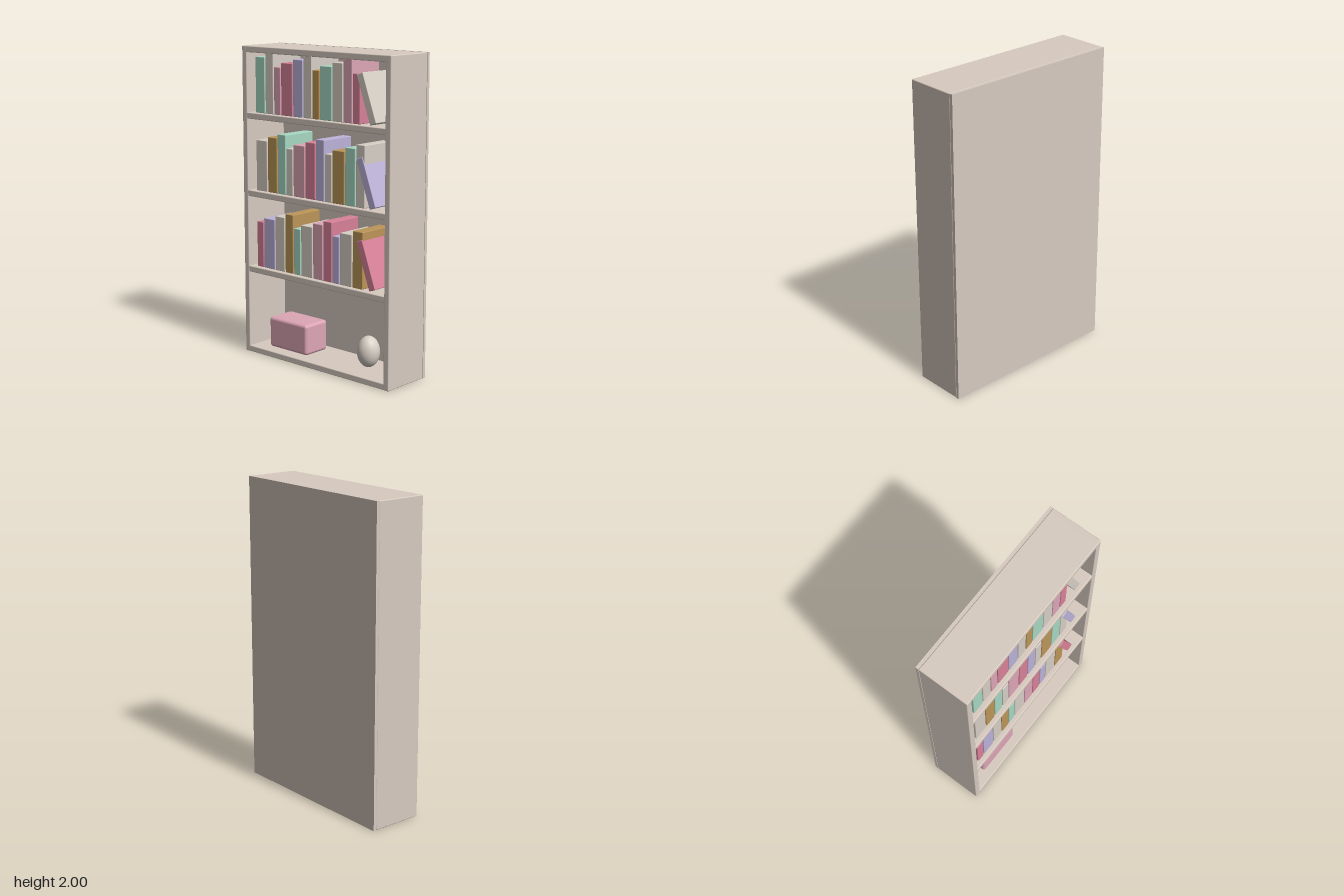
import * as THREE from 'three';
import { RoundedBoxGeometry } from 'three/addons/geometries/RoundedBoxGeometry.js';

export function createModel() {
  const group = new THREE.Group();
  group.name = 'bookcase';

  const paint = (name, color) => {
    const m = new THREE.MeshStandardMaterial({ color });
    m.name = name;
    return m;
  };
  const wood = paint('pale wood', 0xd8cbc0);
  const cream = paint('cream', 0xd8d0c6);
  const rose = paint('rose', 0xd98299);
  const pink = paint('light pink', 0xdea6b6);
  const lavender = paint('lavender', 0xbdb3da);
  const mint = paint('mint', 0xa8d8c4);
  const ochre = paint('ochre', 0xbd965a);

  // Softly rounded box given by size and centre
  const block = (name, material, [w, h, d], [x, y, z], radius = 0.006, parent = group) => {
    const mesh = new THREE.Mesh(new RoundedBoxGeometry(w, h, d, 2, radius), material);
    mesh.name = name;
    mesh.position.set(x, y, z);
    parent.add(mesh);
    return mesh;
  };

  // Carcass: sides, boards and back panel
  const W = 1.22, T = 0.04, front = 0.177, back = -0.157;
  const depth = front - back, midZ = (front + back) / 2;
  for (const s of [-1, 1]) {
    block(s > 0 ? 'leftSide' : 'rightSide', wood, [T, 2, depth], [s * (W - T) / 2, 1, midZ]);
  }
  block('topBoard', wood, [W - 0.02, T, depth - 0.002], [0, 1.9795, midZ]);
  block('bottomBoard', wood, [W - 0.02, T, depth - 0.002], [0, 0.0205, midZ]);
  const shelfTops = [0.58, 1.08, 1.58];
  for (const y of shelfTops) {
    block('shelf', wood, [W - 2 * T + 0.02, T, depth - 0.004], [0, y - T / 2, midZ]);
  }
  const panel = new THREE.Mesh(new THREE.BoxGeometry(W, 2, 0.02), wood);
  panel.name = 'backPanel';
  panel.position.set(0, 1, -0.167);
  group.add(panel);

  // Rows of books: sizes and colours repeat in cycles, shifted on each shelf
  const widths = [0.055, 0.095, 0.08, 0.068];
  const heights = [0.297, 0.326, 0.353, 0.379];
  const covers = [rose, lavender, cream, ochre, mint, cream, pink];
  const leaning = [rose, lavender, cream];
  shelfTops.forEach((y, row) => {
    const books = new THREE.Group();
    books.name = 'bookRow';
    group.add(books);
    let x = -0.523;
    for (let i = 0; i < 11; i++) {
      const w = widths[(i + row) % 4], h = heights[(i + row) % 4];
      block('book', covers[(i + row * 2) % 7], [w, h, 0.25], [x + w / 2, y + h / 2, 0.02], 0.004, books);
      x += w + 0.0072;
    }
    // Last book leans against the row
    const lean = block('leaningBook', leaning[row], [0.05, 0.31, 0.26], [0.402, y + 0.155, 0.02], 0.004, books);
    lean.rotation.z = 0.35;
  });

  // Storage box and egg ornament on the bottom board
  block('storageBox', pink, [0.33, 0.2, 0.2], [-0.281, 0.149, 0.02], 0.02);
  const egg = new THREE.Mesh(new THREE.SphereGeometry(0.072, 32, 20), cream);
  egg.name = 'eggOrnament';
  egg.scale.set(1, 1.38, 1);
  egg.position.set(0.328, 0.157, 0.03);
  group.add(egg);

  return group;
}
